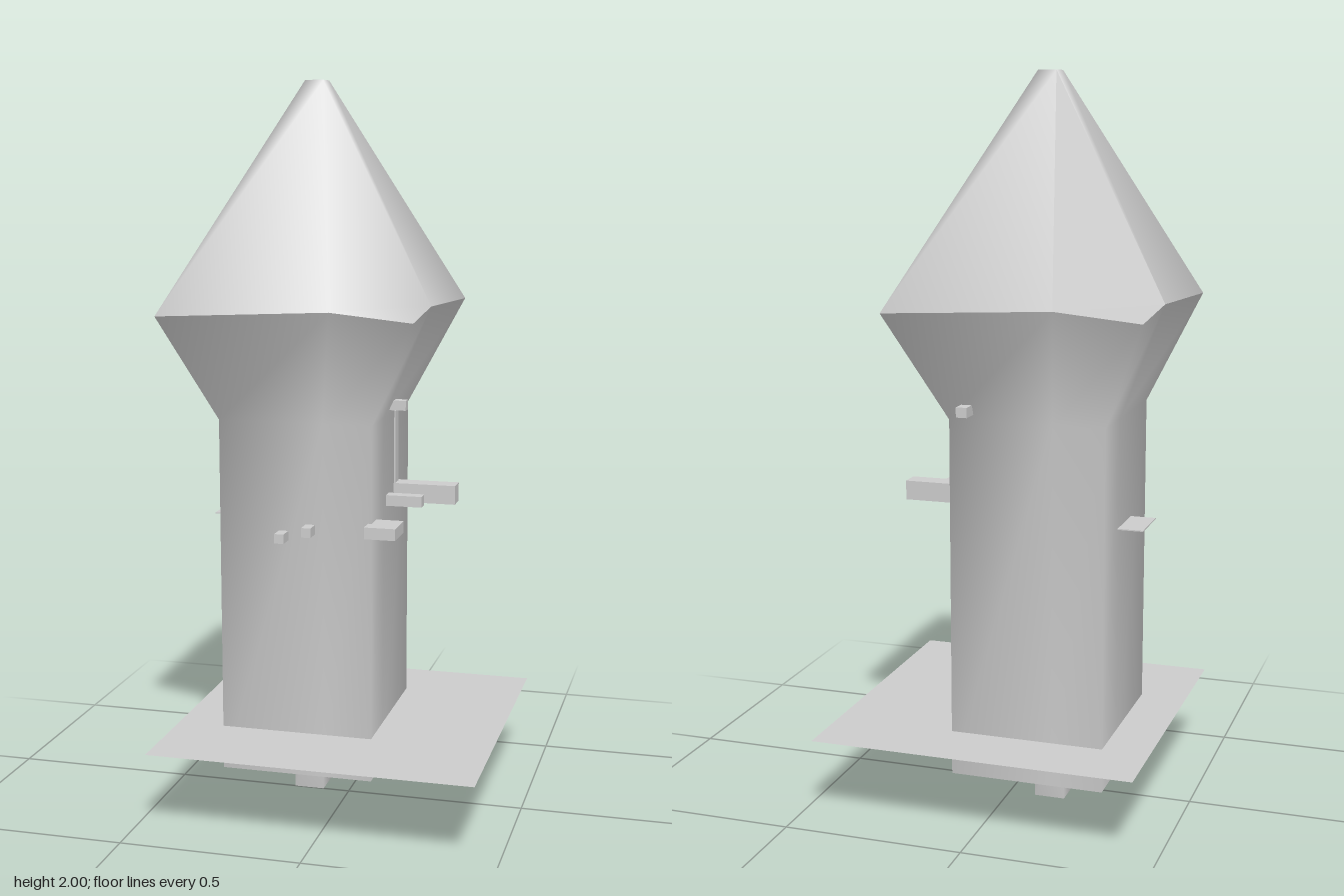
import * as THREE from 'three';

const grey = new THREE.MeshStandardMaterial({ color: 0xcccccc, side: THREE.DoubleSide });
grey.name = 'plain grey';

export function createModel() {
  const model = new THREE.Group();
  model.name = 'tower';

  const add = (name, geometry) => {
    const mesh = new THREE.Mesh(geometry, grey);
    mesh.name = name;
    model.add(mesh);
    return mesh;
  };

  // Surface from corner points and triangles, with smooth normals
  const surface = (name, points, faces) => {
    const g = new THREE.BufferGeometry();
    g.setAttribute('position', new THREE.Float32BufferAttribute(points.flat(), 3));
    g.setIndex(faces.flat());
    g.computeVertexNormals();
    return add(name, g);
  };

  // Open tube through rings that have the same number of points
  const loft = (name, rings) => {
    const n = rings[0].length, faces = [];
    for (let r = 0; r < rings.length - 1; r++) {
      for (let i = 0; i < n; i++) {
        const a = r * n + i, b = r * n + (i + 1) % n;
        faces.push([a, b, b + n], [a, b + n, a + n]);
      }
    }
    return surface(name, rings.flat(), faces);
  };

  // Box from its limits on each axis
  const block = (name, [x0, x1], [y0, y1], [z0, z1]) => {
    const mesh = add(name, new THREE.BoxGeometry(x1 - x0, y1 - y0, z1 - z0));
    mesh.position.set((x0 + x1) / 2, (y0 + y1) / 2, (z0 + z1) / 2);
  };

  // Eave: four low corners with a slightly higher point on each side
  const low = 1.39, high = 1.412;
  const eave = [
    [0.25, low, 0.32], [0.25, high, 0.1], [0.25, low, -0.385], [-0.21, high, -0.385],
    [-0.44, low, -0.385], [-0.44, high, -0.15], [-0.44, low, 0.32], [0.03, high, 0.32],
  ];

  // Shaft ring: the eave outline shrunk to the shaft size
  const ring = (y) => eave.map(([x, , z]) => [
    THREE.MathUtils.mapLinear(x, -0.44, 0.25, -0.315, 0.11), y,
    THREE.MathUtils.mapLinear(z, -0.385, 0.32, -0.26, 0.18),
  ]);
  loft('shaft', [ring(0.11), ring(1.1), eave]);

  // Roof: pyramid with two opposite corners cut back to small ledges
  const tip = [[-0.07, 2, 0], [-0.07, 2, -0.06], [-0.12, 2, -0.06], [-0.12, 2, 0]];
  surface('roof', [...eave, ...tip], [
    [1, 2, 9], [1, 9, 8], [2, 3, 10], [2, 10, 9],
    [5, 6, 11], [5, 11, 10], [6, 7, 8], [6, 8, 11],
    [7, 1, 8], [7, 0, 1], [8, 9, 10], [8, 10, 11],
  ]);
  surface('rearRoofPanel', [eave[3], eave[5], tip[2]], [[0, 1, 2]]);
  surface('rearRoofLedge', [eave[3], eave[4], eave[5]], [[0, 1, 2]]);

  // Ground sheet and hollow post below it
  const ground = add('groundSheet', new THREE.PlaneGeometry(0.89, 0.89).rotateX(-Math.PI / 2));
  ground.position.y = 0.232;
  const square = (y) => [[-0.075, y, 0], [-0.075, y, -0.09], [-0.16, y, -0.09], [-0.16, y, 0]];
  loft('post', [square(0), square(0.232)]);

  // Fittings on the left wall
  block('largeBeam', [0.1, 0.285], [0.842, 0.895], [-0.135, -0.08]);
  block('beamStrip', [0.105, 0.114], [0.89, 1.1], [-0.12, -0.082]);
  block('smallBeam', [0.1, 0.21], [0.85, 0.88], [-0.02, 0.015]);
  block('sideBracket', [0.1, 0.185], [0.804, 0.836], [0.125, 0.225]);
  block('upperPeg', [0.1, 0.165], [1.118, 1.145], [-0.01, 0.018]);

  // Pegs on the back and front walls
  block('backPeg', [0.04, 0.07], [1.118, 1.145], [-0.318, -0.25]);
  block('frontPeg', [-0.148, -0.122], [0.777, 0.803], [0.17, 0.225]);
  block('frontPeg', [-0.073, -0.047], [0.798, 0.824], [0.17, 0.225]);

  // Thin shelf on the right wall
  block('shelf', [-0.385, -0.31], [0.801, 0.804], [-0.125, 0.02]);

  return model;
}
